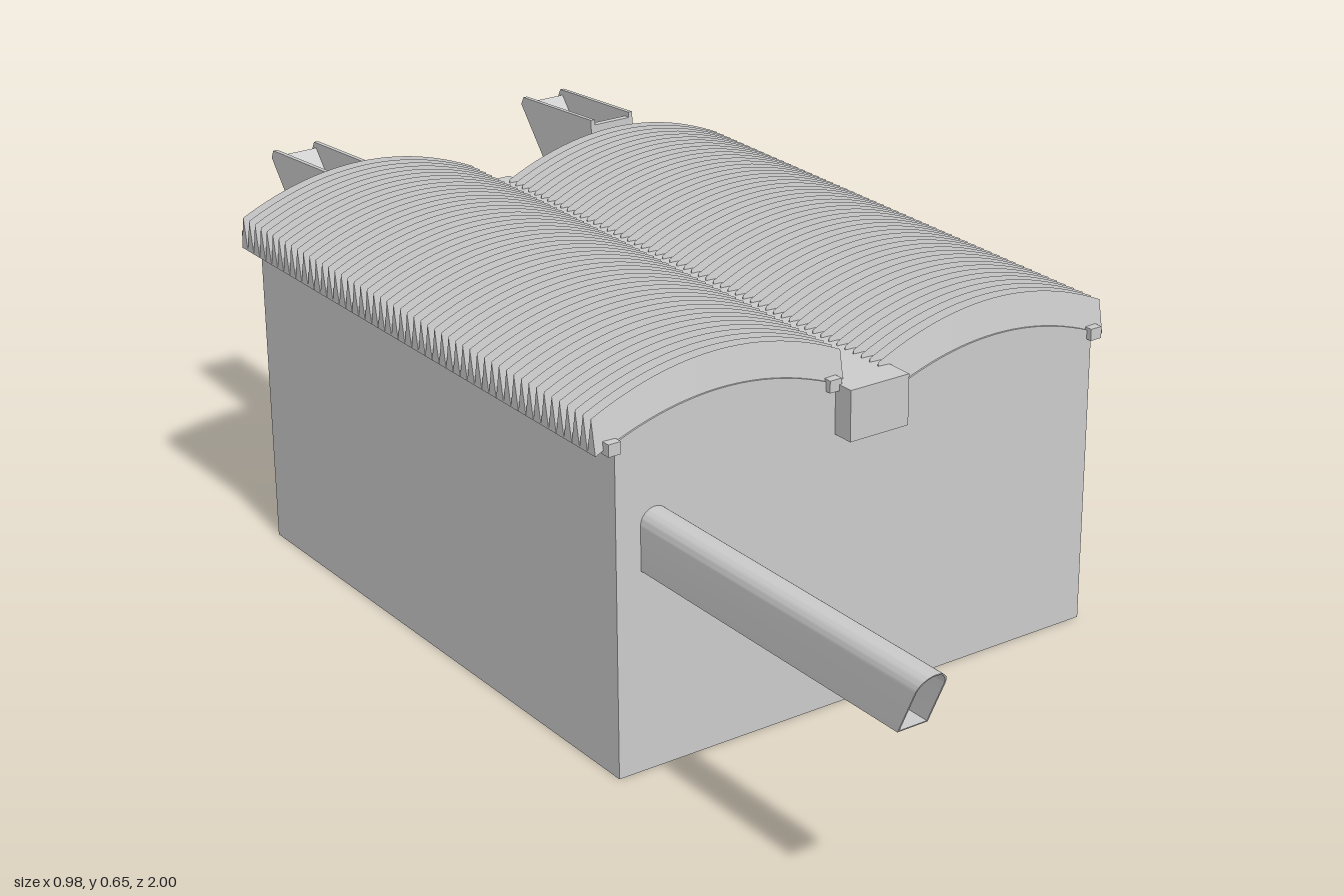
import * as THREE from 'three';
import { mergeGeometries, toCreasedNormals } from 'three/addons/utils/BufferGeometryUtils.js';

const material = new THREE.MeshStandardMaterial({ color: 0xcccccc, side: THREE.DoubleSide });
const FRONT = 0.35, BACK = -0.712;
const ROOFS = [
  { name: 'rightRoof', x: -0.265, eave: 0.54 },
  { name: 'leftRoof', x: 0.261, eave: 0.5 },
];
const HALF = 0.226, RISE = 0.054, FIN_HEIGHT = 0.056;

// Height of a shallow vault above its eave, at distance d from its middle
const vault = (d) => RISE * (1 - (d / HALF) ** 2);

function add(parent, name, geometry, x = 0, y = 0, z = 0) {
  const mesh = new THREE.Mesh(geometry, material);
  mesh.name = name;
  mesh.position.set(x, y, z);
  parent.add(mesh);
  return mesh;
}

// Box given by its limits
function addBox(parent, name, x0, x1, y0, y1, z0, z1) {
  return add(parent, name, new THREE.BoxGeometry(x1 - x0, y1 - y0, z1 - z0),
    (x0 + x1) / 2, (y0 + y1) / 2, (z0 + z1) / 2);
}

const extrude = (shape, depth) =>
  new THREE.ExtrudeGeometry(shape, { depth, bevelEnabled: false, curveSegments: 12 });

const polygon = (points) => new THREE.Shape(points.map(([x, y]) => new THREE.Vector2(x, y)));

// Round-topped opening: x is the middle, w half the width
function arch(Type, x, w, y0, y1) {
  const p = new Type();
  p.moveTo(x - w, y0);
  p.lineTo(x + w, y0);
  p.lineTo(x + w, y1 - w);
  p.absarc(x, y1 - w, w, 0, Math.PI, false);
  p.lineTo(x - w, y0);
  return p;
}

// Wall outline with two vaulted tops
function bodyShape() {
  const points = [[-0.46, 0], [0.46, 0]];
  for (const [roof, from, to] of [[ROOFS[1], 0.46, 0.05], [ROOFS[0], -0.05, -0.46]]) {
    for (let i = 0; i <= 20; i++) {
      const x = from + (to - from) * i / 20;
      points.push([x, roof.eave + vault(x - roof.x)]);
    }
  }
  return polygon(points);
}

// One curved roof rib with a triangular section
function ribGeometry(halfDepth, segments = 24) {
  const p = [];
  const section = (i) => {
    const x = -HALF + 2 * HALF * i / segments, y = vault(x);
    return [[x, y, halfDepth], [x, y + FIN_HEIGHT, 0], [x, y, -halfDepth]];
  };
  for (let i = 0; i < segments; i++) {
    const a = section(i), b = section(i + 1);
    for (let k = 0; k < 3; k++) {
      const n = (k + 1) % 3;
      p.push(...a[k], ...b[k], ...b[n], ...a[k], ...b[n], ...a[n]);
    }
  }
  const s = section(0), e = section(segments);
  p.push(...s[0], ...s[1], ...s[2], ...e[0], ...e[2], ...e[1]);
  const g = new THREE.BufferGeometry();
  g.setAttribute('position', new THREE.Float32BufferAttribute(p, 3));
  return toCreasedNormals(g, 0.4);
}

function ribbedRoof(parent, roof) {
  const count = 52, z0 = 0.347, z1 = -0.72, pitch = (z0 - z1) / count;
  const rib = ribGeometry(pitch / 2);
  const ribs = [];
  for (let i = 0; i < count; i++) ribs.push(rib.clone().translate(0, 0, z0 - pitch * (i + 0.5)));
  add(parent, roof.name, mergeGeometries(ribs), roof.x, roof.eave, 0);
}

// Open-topped hopper: U-shaped core between two side walls
function hopper(name, x0, x1) {
  const group = new THREE.Group();
  group.name = name;
  const wall = 0.008;
  const side = polygon([[0.712, 0.3], [0.765, 0.3], [1, 0.58], [0.992, 0.595],
    [0.765, 0.61], [0.765, 0.45], [0.712, 0.43]]);
  const core = polygon([[0.712, 0.3], [0.765, 0.3], [1, 0.58], [0.985, 0.586],
    [0.777, 0.34], [0.777, 0.6], [0.765, 0.6], [0.765, 0.45], [0.712, 0.43]]);
  const parts = [['sideWall', side, x0, wall], ['chuteFloor', core, x0 + wall, x1 - x0 - 2 * wall],
    ['sideWall', side, x1 - wall, wall]];
  for (const [part, shape, x, depth] of parts) {
    add(group, part, extrude(shape, depth).rotateY(Math.PI / 2), x);
  }
  addBox(group, 'hopperBracket', x0, x1, 0.45, 0.505, -0.765, BACK);
  return group;
}

export function createModel() {
  const model = new THREE.Group();

  // Main block, with a thick rear wall holding an arched niche
  const niche = 0.1;
  add(model, 'body', extrude(bodyShape(), FRONT - BACK - niche), 0, 0, BACK + niche);
  const rear = bodyShape();
  rear.holes.push(arch(THREE.Path, -0.108, 0.027, 0.165, 0.282));
  add(model, 'rearWall', extrude(rear, niche), 0, 0, BACK);
  const frame = arch(THREE.Shape, -0.108, 0.03, 0.162, 0.285);
  frame.holes.push(arch(THREE.Path, -0.108, 0.027, 0.165, 0.282));
  add(model, 'nicheFrame', extrude(frame, 0.006), 0, 0, BACK - 0.005);

  // Roofs with a pair of eave beams each
  for (const roof of ROOFS) {
    ribbedRoof(model, roof);
    for (const s of [-1, 1]) {
      const x = roof.x + s * 0.201;
      addBox(model, 'eaveBeam', x - 0.011, x + 0.011, roof.eave, roof.eave + 0.02, -0.745, 0.36);
    }
  }

  // Beam between the roofs
  addBox(model, 'centreGutter', -0.057, 0.055, 0.465, 0.55, -0.742, 0.388);

  // Hollow arched spout with a slanted mouth
  const spout = arch(THREE.Shape, -0.39, 0.026, 0.337, 0.436);
  spout.holes.push(arch(THREE.Path, -0.39, 0.0235, 0.3395, 0.4335));
  const spoutGeometry = extrude(spout, 1 - FRONT);
  const pos = spoutGeometry.attributes.position;
  for (let i = 0; i < pos.count; i++) {
    if (pos.getZ(i) > 0.1) pos.setZ(i, pos.getZ(i) - (0.436 - pos.getY(i)) * 0.47);
  }
  add(model, 'spout', toCreasedNormals(spoutGeometry, 0.5), 0, 0, FRONT);

  // Rear hoppers
  model.add(hopper('rightHopper', -0.28, -0.19), hopper('leftHopper', 0.246, 0.336));
  return model;
}
